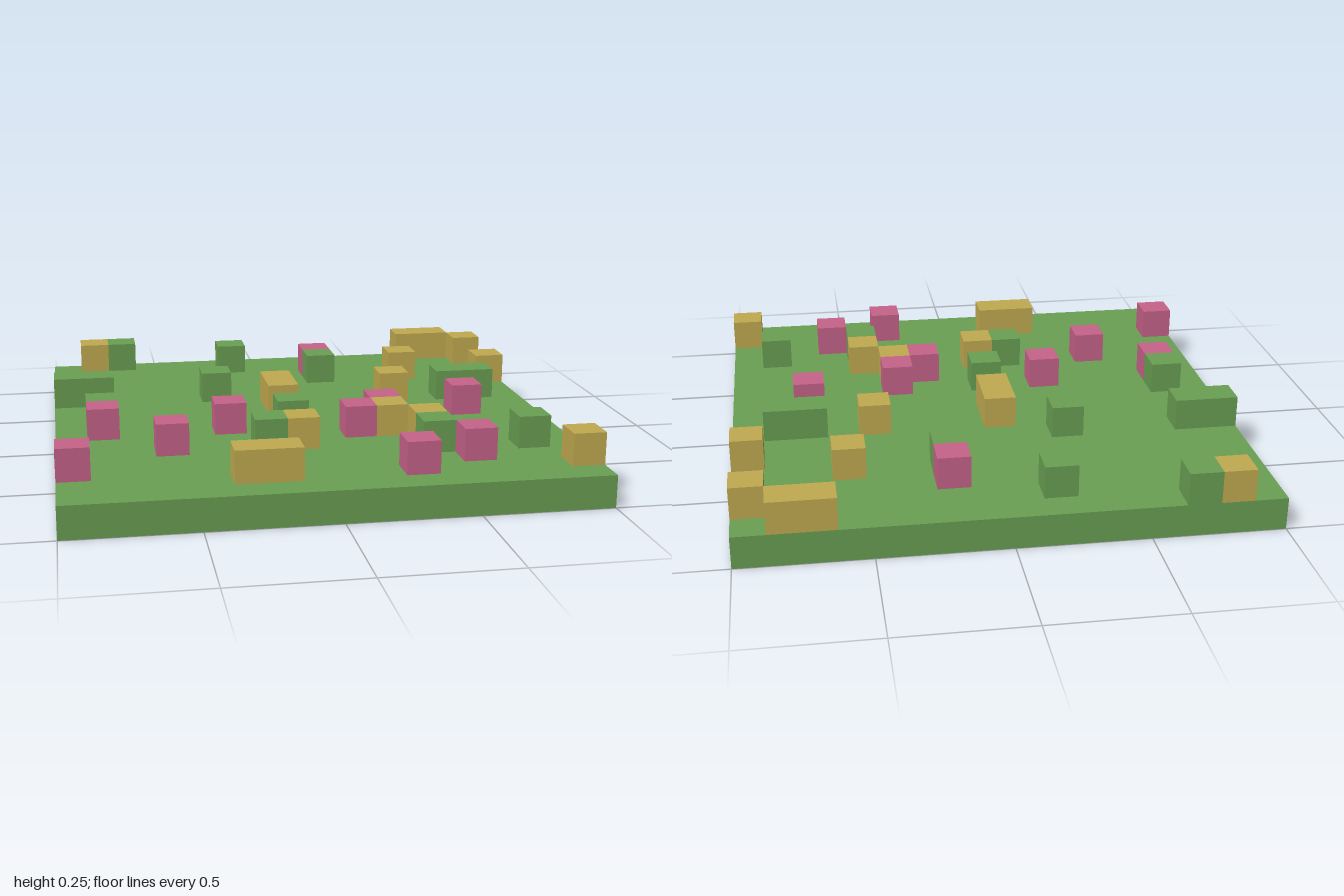
import * as THREE from 'three';

const CELL = 0.125; // the field is a 16 x 16 grid of cells

function material(name, color) {
  const m = new THREE.MeshStandardMaterial({ color });
  m.name = name;
  return m;
}

// Blocks on the field: [column, row, columns wide = 1, rows deep = 1]
const BLOCKS = {
  grassTuft: [
    [2, 0], [6, 1], [9, 3], [0, 5, 2], [5, 5], [13, 6, 2],
    [1, 8], [7, 9], [6, 11], [11, 12], [14, 12],
  ],
  yellowFlower: [
    [1, 0], [13, 0, 2], [15, 1], [12, 3], [15, 4], [11, 6],
    [7, 6, 1, 2], [10, 10], [7, 11], [11, 11], [5, 14, 2], [15, 14],
  ],
  pinkFlower: [
    [9, 2], [13, 8], [1, 9], [5, 9], [10, 9],
    [9, 10], [3, 11], [0, 13], [12, 13], [10, 14],
  ],
};

export function createModel() {
  const model = new THREE.Group();
  model.name = 'flowerMeadow';

  const green = material('grass green', 0x6aa053);
  const materials = {
    grassTuft: green,
    yellowFlower: material('flower yellow', 0xc1ab50),
    pinkFlower: material('flower pink', 0xc66389),
  };

  // Ground slab
  const ground = new THREE.Mesh(new THREE.BoxGeometry(2, CELL, 2), green);
  ground.name = 'ground';
  ground.position.y = CELL / 2;
  model.add(ground);

  // Tufts and flowers standing on the slab
  for (const [kind, list] of Object.entries(BLOCKS)) {
    const group = new THREE.Group();
    group.name = kind + 's';
    for (const [col, row, w = 1, d = 1] of list) {
      const block = new THREE.Mesh(
        new THREE.BoxGeometry(w * CELL, CELL, d * CELL), materials[kind]);
      block.name = kind;
      block.position.set((col + w / 2) * CELL - 1, CELL * 1.5, (row + d / 2) * CELL - 1);
      group.add(block);
    }
    model.add(group);
  }
  return model;
}
